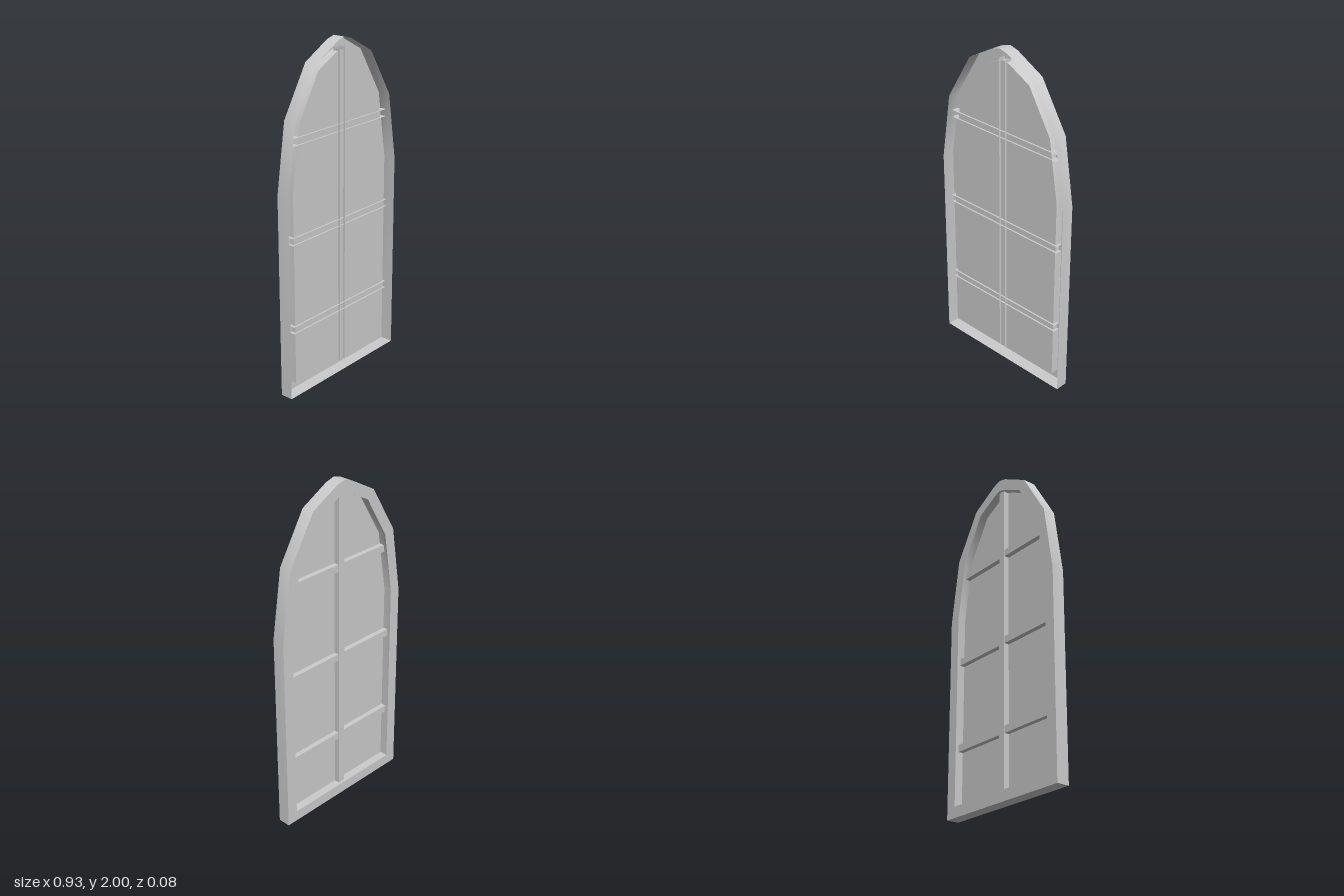
import * as THREE from 'three';
import { toCreasedNormals } from 'three/addons/utils/BufferGeometryUtils.js';

const FRONT = 0.038, BACK = -0.038, GLASS = 0.012;

const material = new THREE.MeshStandardMaterial({ color: 0xcccccc, side: THREE.DoubleSide });

// Mirrors a right-hand profile (bottom to apex) into a closed counter-clockwise outline
function archOutline(half) {
  const mirrored = half.slice(0, -1).reverse().map(([x, y]) => [-x, y]);
  return [...half, ...mirrored].map(([x, y]) => new THREE.Vector2(x, y));
}

// Surface between two matching rows of points
function ruled(rowA, rowB) {
  const pos = [];
  for (let i = 0; i < rowA.length - 1; i++) {
    const [a, b, c, d] = [rowA[i], rowA[i + 1], rowB[i + 1], rowB[i]];
    for (const p of [a, b, c, a, c, d]) pos.push(...p);
  }
  const geo = new THREE.BufferGeometry();
  geo.setAttribute('position', new THREE.Float32BufferAttribute(pos, 3));
  geo.computeVertexNormals();
  return toCreasedNormals(geo, 0.6);
}

// Wall following an outline from one depth to another
function wall(outline, z0, z1) {
  const closed = [...outline, outline[0]];
  return ruled(closed.map(p => [p.x, p.y, z0]), closed.map(p => [p.x, p.y, z1]));
}

// Bar along x with a back and two sides, open at the front and the ends
function channel(halfLength, halfWidth, zFront, zBack) {
  const section = [[halfWidth, zFront], [halfWidth, zBack], [-halfWidth, zBack], [-halfWidth, zFront]];
  return ruled(section.map(([y, z]) => [halfLength, y, z]), section.map(([y, z]) => [-halfLength, y, z]));
}

export function createModel() {
  const model = new THREE.Group();
  model.name = 'archedWindow';

  const add = (name, geometry, parent = model) => {
    const mesh = new THREE.Mesh(geometry, material);
    mesh.name = name;
    parent.add(mesh);
    return mesh;
  };

  const outer = archOutline([[0.463, 0], [0.463, 1.21], [0.4, 1.61], [0.23, 1.89], [0.055, 1.985], [0, 2]]);
  const inner = archOutline([[0.395, 0.065], [0.395, 1.22], [0.335, 1.59], [0.185, 1.842], [0.045, 1.915], [0, 1.928]]);

  // Frame: a hollow shell, open towards the front
  const frame = new THREE.Group();
  frame.name = 'frame';
  model.add(frame);
  add('frameOuterWall', wall(outer, BACK, FRONT), frame);
  add('frameInnerWall', wall(inner, GLASS, BACK), frame);

  const ring = new THREE.Shape(outer);
  ring.holes.push(new THREE.Path(inner));
  add('frameBackFace', new THREE.ShapeGeometry(ring).rotateY(Math.PI).translate(0, 0, BACK), frame);

  // Pane
  add('glassPane', new THREE.ShapeGeometry(new THREE.Shape(inner)).translate(0, 0, GLASS));

  // Glazing bars, each passing through the pane with thin lips in front
  const bars = new THREE.Group();
  bars.name = 'glazingBars';
  model.add(bars);
  for (const [y, halfLength] of [[0.407, 0.413], [0.94, 0.413], [1.498, 0.395]]) {
    add('horizontalBar', channel(halfLength, 0.021, 0.022, -0.018), bars).position.y = y;
  }
  const upright = add('verticalBar', channel(0.94, 0.022, 0.024, -0.022).rotateZ(Math.PI / 2), bars);
  upright.position.y = 1.0;

  return model;
}
